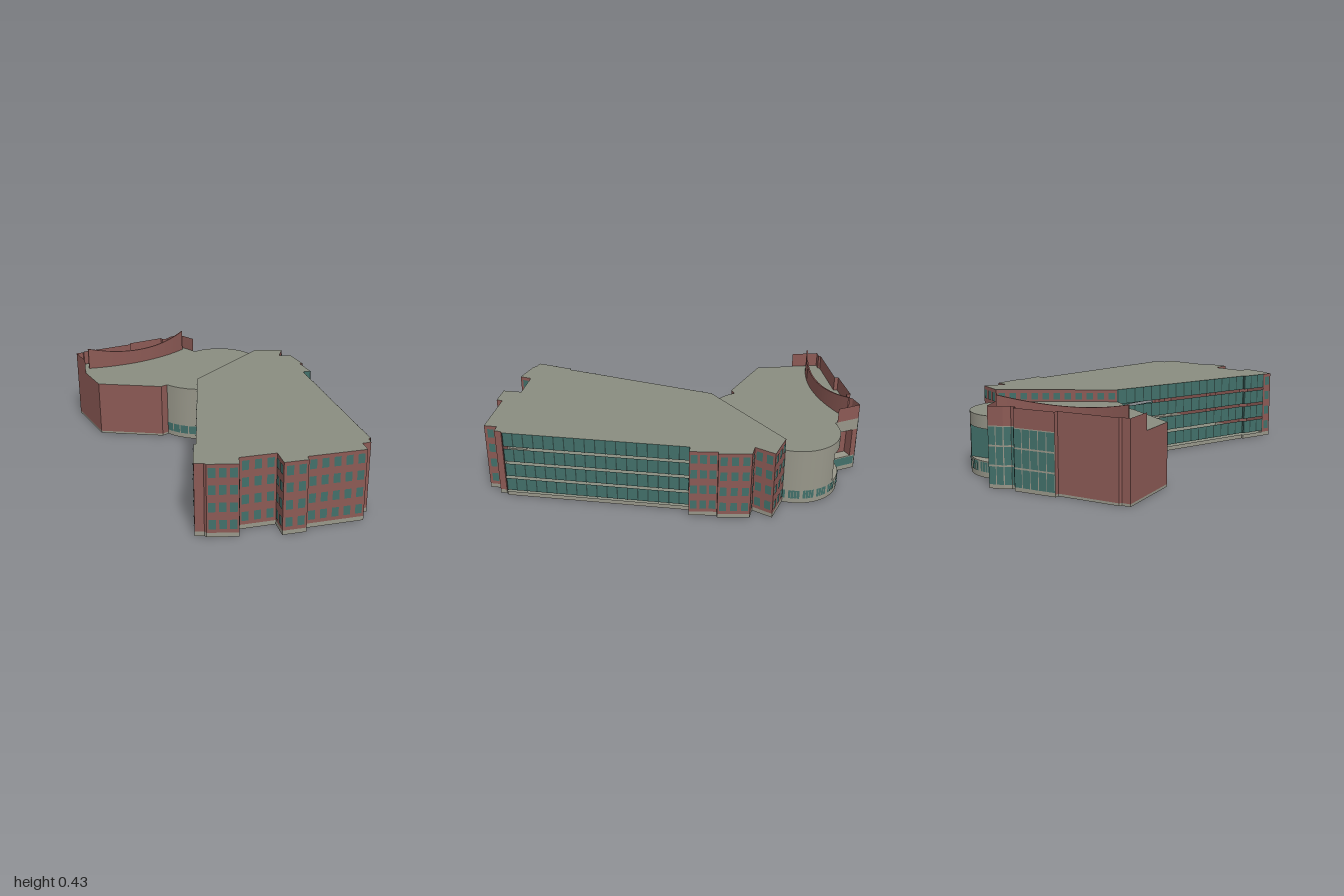
import * as THREE from 'three';
import { mergeGeometries, toCreasedNormals } from 'three/addons/utils/BufferGeometryUtils.js';

const makeMat = (name, color) => {
  const m = new THREE.MeshStandardMaterial({ color, side: THREE.DoubleSide });
  m.name = name;
  return m;
};

const TOP = 0.368, LOW = 0.305, PARAPET = 0.385, BASE = 0.022;
const SLOT0 = 0.08, SLOT1 = 0.24;            // floor and ceiling of the recessed terrace

// Main wing outline: [x, z, style of the edge that starts here]
const MAIN = [
  [-0.06, -0.24, 'brick'], [0.52, -0.48, 'brick'], [0.652, -0.385, 'brick'], [0.57, -0.305, 'brick'],
  [0.632, -0.275, 'brick'], [0.597, -0.115, 'brick'], [0.58, -0.118, 'brick'], [0.548, 0.02, 'glass'],
  [0.505, 0.005, 'glass'], [0.178, 0.905, 'brick'], [0.162, 0.91, 'brick'], [0.148, 0.942, 'brick'],
  [0.105, 0.93, 'brick'], [0.08, 0.993, 'brick'], [-0.195, 0.895, 'brick'], [-0.21, 0.925, 'brick'],
  [-0.32, 0.885, 'brick'], [-0.285, 0.79, 'brick'], [-0.455, 0.73, 'brick'], [-0.49, 0.785, 'brick'],
  [-0.615, 0.705, 'brick'], [-0.618, 0.69, 'brick'], [-0.655, 0.665, 'brick'], [-0.625, 0.615, 'glass'],
  [-0.545, 0.493, 'glass'], [-0.535, 0.498, 'glass'],
];

// Drum arc, split where the terrace cuts in
const arc = (a0, a1, n, style) => Array.from({ length: n }, (_, i) => {
  const a = a0 + (a1 - a0) * i / n;
  return [0.33 + 0.2275 * Math.cos(a), -0.605 + 0.2275 * Math.sin(a), style];
});

// Low wing outline
const LOWER = [
  [-0.06, -0.24, 'drum'], [-0.1, -0.277, 'drum'], [-0.13, -0.32, 'drum'], [-0.15, -0.36, 'drum'],
  [-0.163, -0.402, 'plain'], [-0.205, -0.395, 'plain'], [-0.48, -0.635, 'plain'], [-0.445, -0.995, 'plain'],
  [-0.405, -0.99, 'plain'], [-0.395, -1, 'plain'], [-0.09, -0.97, 'plain'], [-0.085, -0.99, 'curtain'],
  [0.13, -0.975, 'curtain'], [0.13, -0.95, 'curtain'], [0.16, -0.945, 'curtain'], [0.19, -0.965, 'curtain'],
  [0.265, -0.975, 'open'],
  ...arc(-1.725, -0.72, 14, 'open'), ...arc(-0.72, 0.582, 20, 'drum'), [0.52, -0.48, 'none'],
];

// Collects quads per material and turns them into named meshes
class Part {
  constructor(name) {
    this.group = new THREE.Group();
    this.group.name = name;
    this.sets = new Map();
  }
  quad(mat, a, b, c, d) {
    const g = new THREE.BufferGeometry();
    g.setAttribute('position', new THREE.Float32BufferAttribute([a, b, c, a, c, d].flat(), 3));
    g.computeVertexNormals();
    if (!this.sets.has(mat)) this.sets.set(mat, []);
    this.sets.get(mat).push(g);
  }
  // Upright panel on edge a-b from fraction t0 to t1, pushed outwards by off
  panel(mat, a, b, y0, y1, t0 = 0, t1 = 1, off = 0) {
    const dx = b[0] - a[0], dz = b[1] - a[1], len = Math.hypot(dx, dz);
    const at = (t, y) => [a[0] + dx * t + dz / len * off, y, a[1] + dz * t - dx / len * off];
    this.quad(mat, at(t1, y0), at(t0, y0), at(t0, y1), at(t1, y1));
  }
  cap(name, mat, outline, y) {
    const shape = new THREE.Shape(outline.map(p => new THREE.Vector2(p[0], -p[1])));
    const mesh = new THREE.Mesh(new THREE.ShapeGeometry(shape).rotateX(-Math.PI / 2), mat);
    mesh.position.y = y;
    mesh.name = name;
    this.group.add(mesh);
  }
  finish() {
    for (const [mat, list] of this.sets) {
      const mesh = new THREE.Mesh(toCreasedNormals(mergeGeometries(list), 0.4), mat);
      mesh.name = `${this.group.name} ${mat.name}`;
      this.group.add(mesh);
    }
    return this.group;
  }
}

const edges = (outline, fn) => outline.forEach((p, i) => {
  const q = outline[(i + 1) % outline.length];
  fn(p, q, p[2], Math.hypot(q[0] - p[0], q[1] - p[1]), i);
});

export function createModel() {
  const brick = makeMat('brick', 0x8c5a55), glass = makeMat('glass', 0x42706a);
  const frame = makeMat('frame', 0x2c4743), roof = makeMat('roof', 0x8a8d80);
  const concrete = makeMat('concrete', 0x98978a);
  const model = new THREE.Group();
  model.name = 'building';

  // Main wing: brick bays with punched windows, long sides of stacked glass bands
  const main = new Part('mainWing');
  const sills = [0.042, 0.13, 0.218, 0.303];
  const bands = [[0.032, 0.103], [0.117, 0.19], [0.204, 0.277], [0.291, TOP]];
  edges(MAIN, (a, b, style, len, i) => {
    main.panel(concrete, a, b, 0, BASE);
    if (style === 'brick') {
      main.panel(brick, a, b, BASE, TOP);
      if (len < 0.045) return;
      const n = Math.max(1, Math.round(len / 0.056)), half = 0.017 / len;
      for (const y of sills) {
        if (i === 0 && y < LOW - 0.01) continue;
        for (let k = 0; k < n; k++) {
          const t = (k + 0.5) / n;
          main.panel(glass, a, b, i === 0 ? 0.318 : y, y + 0.048, t - half, t + half, 0.003);
        }
      }
    } else {
      const n = Math.max(1, Math.round(len / 0.054)), half = Math.min(0.003 / len, 0.1);
      for (const [y0, y1] of bands) {
        main.panel(glass, a, b, y0, y1);
        if (len < 0.03) continue;
        for (let k = 0; k <= n; k++) {
          const t = THREE.MathUtils.clamp(k / n, half, 1 - half);
          main.panel(frame, a, b, y0, y1, t - half, t + half, 0.003);
        }
      }
    }
  });
  main.cap('mainRoof', roof, MAIN, TOP);
  main.cap('mainFloor', roof, MAIN, 0);
  model.add(main.finish());

  // Low wing: plain brick, rear curtain wall and round drum
  const low = new Part('lowWing');
  edges(LOWER, (a, b, style, len, i) => {
    if (style === 'none') return;
    if (style === 'plain') {
      low.panel(concrete, a, b, 0, 0.012);
      low.panel(brick, a, b, 0.012, LOW);
    } else if (style === 'curtain') {
      low.panel(concrete, a, b, 0, 0.295);
      low.panel(brick, a, b, 0.295, LOW);
      const n = Math.max(1, Math.round(len / 0.045)), gap = Math.min(0.002 / len, 0.1);
      for (let r = 0; r < 3; r++) for (let k = 0; k < n; k++) {
        const y = 0.02 + r * 0.093;
        low.panel(glass, a, b, y, y + 0.085, k / n + gap, (k + 1) / n - gap, 0.003);
      }
    } else {
      // Drum wall with a ribbon of windows at its foot
      low.panel(concrete, a, b, 0, SLOT0);
      low.panel(concrete, a, b, SLOT1, LOW);
      if (style === 'drum') low.panel(concrete, a, b, SLOT0, SLOT1);
      if (i % 5 !== 4) low.panel(glass, a, b, 0.028, 0.076, 0.06, 0.94, 0.003);
    }
  });
  // Recessed terrace walls
  const inner = [[0.27, -0.945], [0.22, -0.933], [0.25, -0.783], [0.501, -0.755]];
  low.panel(brick, [0.265, -0.975], inner[0], SLOT0, SLOT1);
  low.panel(brick, inner[0], inner[1], SLOT0, SLOT1);
  low.panel(brick, inner[1], inner[2], SLOT0, SLOT1);
  low.panel(glass, inner[2], inner[3], SLOT0, SLOT1);
  low.cap('terraceFloor', concrete, LOWER, SLOT0);
  low.cap('terraceCeiling', concrete, LOWER, SLOT1);
  low.cap('lowRoof', roof, LOWER, LOW);
  low.cap('lowFloor', roof, LOWER, 0);
  model.add(low.finish());

  // Raised parapet along the rear with short side returns
  const parapet = new Part('parapet');
  const rim = [[-0.46, -0.845], ...LOWER.slice(7, 17), [0.292, -0.845]];
  for (let i = 0; i < rim.length - 1; i++) parapet.panel(brick, rim[i], rim[i + 1], LOW, PARAPET);
  model.add(parapet.finish());

  // Bowed roof screen with a sagging top edge
  const screen = new Part('roofScreen');
  const N = 24, T = 0.004;
  const at = (i, side, up) => {
    const t = i / N * 2 - 1;
    return [-0.077 + 0.328 * t, up ? PARAPET + 0.042 * t * t : LOW, -0.85 - 0.065 * t * t + side * T];
  };
  for (let i = 0; i < N; i++) {
    screen.quad(brick, at(i, 1, 0), at(i + 1, 1, 0), at(i + 1, 1, 1), at(i, 1, 1));
    screen.quad(brick, at(i + 1, -1, 0), at(i, -1, 0), at(i, -1, 1), at(i + 1, -1, 1));
    screen.quad(brick, at(i, 1, 1), at(i + 1, 1, 1), at(i + 1, -1, 1), at(i, -1, 1));
  }
  screen.quad(brick, at(0, -1, 0), at(0, 1, 0), at(0, 1, 1), at(0, -1, 1));
  screen.quad(brick, at(N, 1, 0), at(N, -1, 0), at(N, -1, 1), at(N, 1, 1));
  model.add(screen.finish());

  return model;
}
